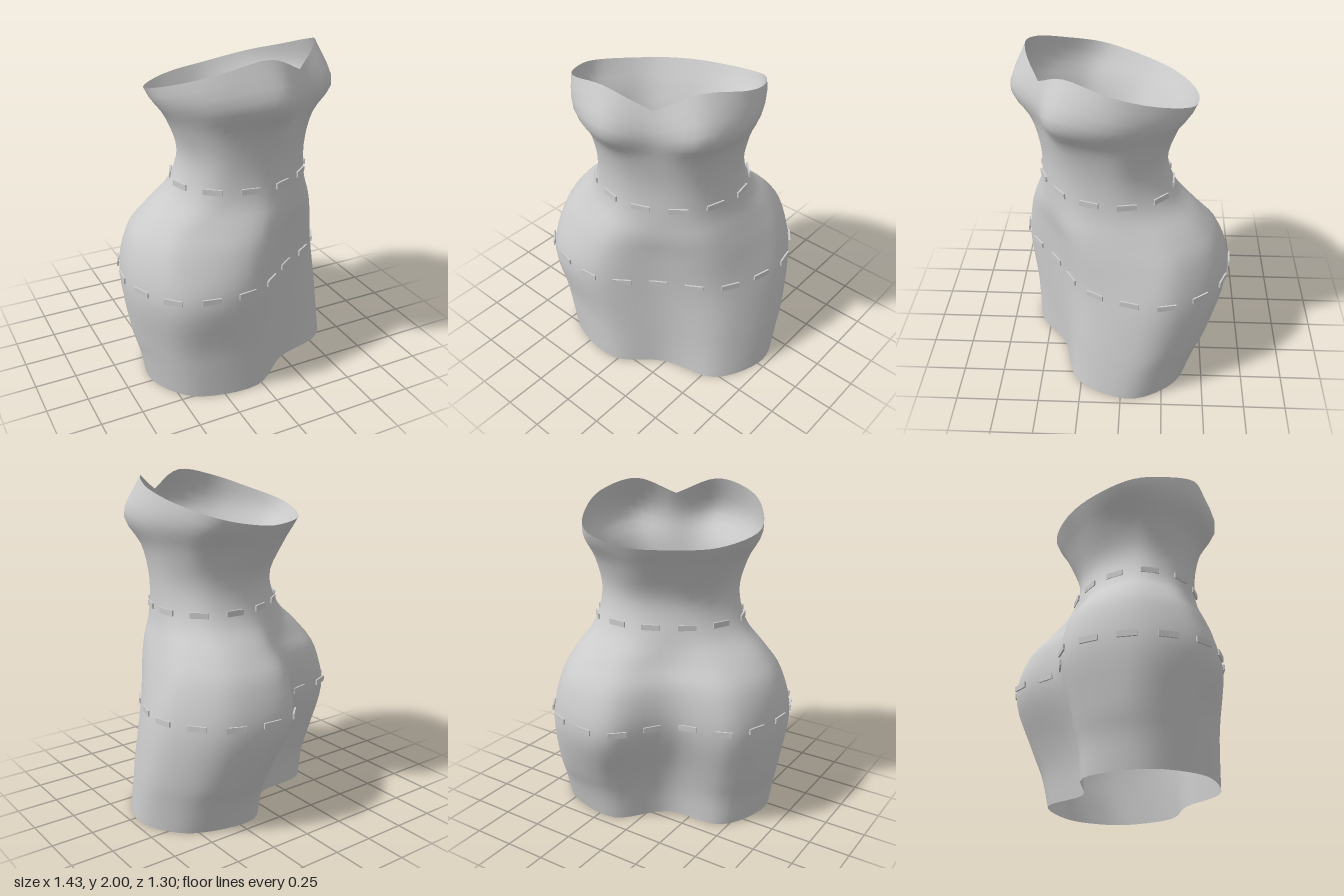
import * as THREE from 'three';

// Half cross-sections of the garment, mirrored about its own front-back axis:
// y, sideways shift, skew (left side forward), half width,
// then depth (front positive) from front centre round to back centre
const LEVELS = [
  [0.00, 0.010, 0.08, 0.665, 0.45, 0.50, 0.315, 0.10, -0.125, -0.32, -0.21],
  [0.18, 0.008, 0.05, 0.69, 0.455, 0.485, 0.295, 0.08, -0.165, -0.345, -0.235],
  [0.35, 0.005, 0.02, 0.715, 0.46, 0.475, 0.27, 0.05, -0.22, -0.40, -0.28],
  [0.65, -0.015, -0.05, 0.74, 0.465, 0.465, 0.25, 0.02, -0.265, -0.495, -0.385],
  [0.90, -0.012, -0.04, 0.68, 0.475, 0.46, 0.19, 0.00, -0.26, -0.445, -0.375],
  [1.05, -0.005, -0.02, 0.585, 0.49, 0.455, 0.19, 0.01, -0.20, -0.335, -0.30],
  [1.20, 0.000, 0, 0.465, 0.485, 0.44, 0.25, 0.07, -0.09, -0.22, -0.25],
  [1.40, 0.000, 0, 0.42, 0.48, 0.445, 0.29, 0.13, -0.03, -0.17, -0.21],
  [1.60, -0.005, 0, 0.46, 0.51, 0.485, 0.30, 0.10, -0.06, -0.25, -0.285],
  [1.78, -0.012, 0, 0.53, 0.545, 0.58, 0.345, 0.06, -0.165, -0.34, -0.39],
  [2.00, -0.025, 0, 0.505, 0.48, 0.475, 0.30, 0.05, -0.22, -0.39, -0.455],
];
const SPREAD = [0, 0.5, 0.9, 1, 0.9, 0.5, 0];
const RIM = [1.9, 2.0, 1.95, 1.865, 1.80, 1.755, 1.75];
const COLS = 60, ROWS = 36;

const V = (x, y, z) => new THREE.Vector3(x, y, z);

// Closed smooth outline of one level
function section([y, shift, skew, w, ...depth]) {
  const point = (x, z) => V(shift + x, y, z + skew * x);
  const left = depth.map((z, i) => point(SPREAD[i] * w, z));
  const right = depth.map((z, i) => point(-SPREAD[i] * w, z)).slice(1, -1).reverse();
  return new THREE.CatmullRomCurve3([...left, ...right], true, 'catmullrom', 0.5);
}

// Vertical curves running from hem to top at every column
function makeColumns() {
  const outlines = LEVELS.map(section);
  return Array.from({ length: COLS }, (_, j) => new THREE.CatmullRomCurve3(
    outlines.map(c => c.getPoint(j / COLS)), false, 'catmullrom', 0.5));
}

// Curve parameter at which a column reaches height y
function paramAt(curve, y) {
  let lo = 0, hi = 1;
  for (let i = 0; i < 24; i++) {
    const mid = (lo + hi) / 2;
    if (curve.getPoint(mid).y < y) lo = mid; else hi = mid;
  }
  return hi;
}

// Sweetheart neckline: sharp dip at the front, low at the back
const rimCurve = new THREE.CatmullRomCurve3(
  RIM.map((y, i) => V(i, y, 0)), false, 'catmullrom', 0.5);
const rimHeight = j => Math.min(2, rimCurve.getPoint(2 * Math.min(j, COLS - j) / COLS).y);

function makeShell(columns) {
  const pos = [], index = [];
  const ends = columns.map((c, j) => paramAt(c, rimHeight(j)));
  for (let i = 0; i <= ROWS; i++) {
    for (let j = 0; j < COLS; j++) {
      const p = columns[j].getPoint(ends[j] * i / ROWS);
      pos.push(p.x, p.y, p.z);
      if (i === ROWS) continue;
      const a = i * COLS + j, b = i * COLS + (j + 1) % COLS;
      index.push(a, b, b + COLS, a, b + COLS, a + COLS);
    }
  }
  const g = new THREE.BufferGeometry();
  g.setAttribute('position', new THREE.Float32BufferAttribute(pos, 3));
  g.setIndex(index);
  g.computeVertexNormals();
  return g;
}

// Ring of flat dashes lying on the surface at one height
function makeDashes(name, columns, y, count, phase, material) {
  const ring = new THREE.Group();
  ring.name = name;
  const loop = new THREE.CatmullRomCurve3(
    columns.map(c => c.getPoint(paramAt(c, y))), true, 'catmullrom', 0.5);
  const geometry = new THREE.BoxGeometry(0.11, 0.034, 0.01);
  for (let k = 0; k < count; k++) {
    const s = (k + phase) / count;
    const p = loop.getPointAt(s), t = loop.getTangentAt(s);
    const dash = new THREE.Mesh(geometry, material);
    dash.name = 'stitch';
    dash.position.set(p.x - t.z * 0.006, y, p.z + t.x * 0.006);
    dash.rotation.y = Math.atan2(-t.z, t.x);
    ring.add(dash);
  }
  return ring;
}

export function createModel() {
  const model = new THREE.Group();
  model.name = 'straplessDress';
  const cloth = new THREE.MeshStandardMaterial({ color: 0xcccccc, side: THREE.DoubleSide });
  const thread = new THREE.MeshStandardMaterial({ color: 0xcccccc });

  // The garment stands turned about the vertical axis
  const dress = new THREE.Group();
  dress.name = 'dress';
  dress.rotation.y = THREE.MathUtils.degToRad(31);
  model.add(dress);

  const columns = makeColumns();
  const shell = new THREE.Mesh(makeShell(columns), cloth);
  shell.name = 'dressShell';
  dress.add(shell);
  dress.add(makeDashes('waistStitching', columns, 1.255, 12, 0.5, thread));
  dress.add(makeDashes('hipStitching', columns, 0.695, 19, 0, thread));
  return model;
}
